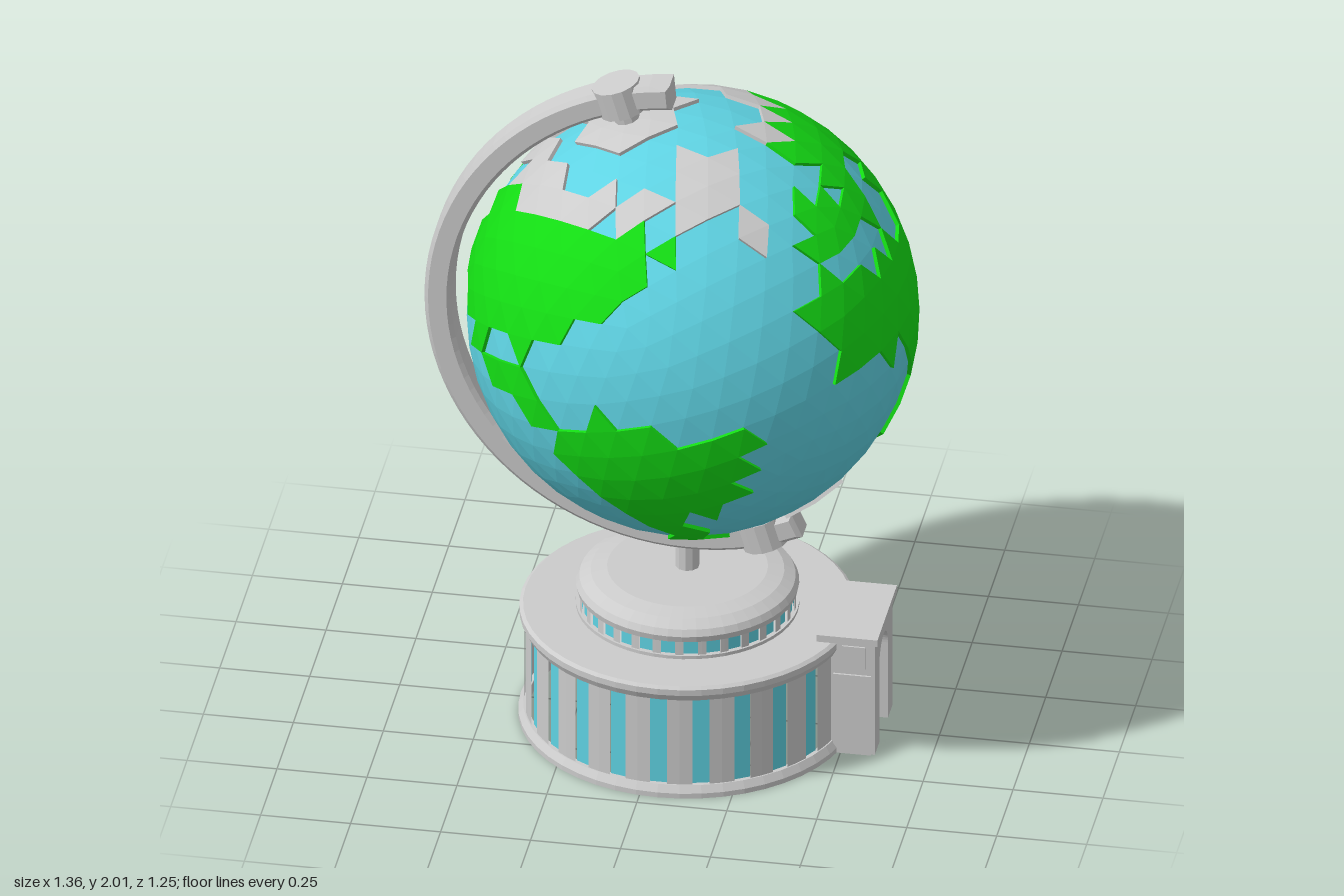
import * as THREE from 'three';

const GREY = 0xcccccc, BLUE = 0x5fd3e3, GREEN = 0x14dd14;
const SEA_R = 0.614, LAND_R = 0.625, TILT = 0.288;

function add(parent, name, geometry, color = GREY) {
  const material = new THREE.MeshStandardMaterial({ color, flatShading: true, side: THREE.DoubleSide });
  const mesh = new THREE.Mesh(geometry, material);
  mesh.name = name;
  parent.add(mesh);
  return mesh;
}

// A map view projects directions on the globe to flat coordinates in hundredths
function mapView(azimuth, elevation, cx, cy) {
  const a = THREE.MathUtils.degToRad(azimuth), e = THREE.MathUtils.degToRad(elevation);
  const dir = new THREE.Vector3(Math.sin(a) * Math.cos(e), Math.sin(e), Math.cos(a) * Math.cos(e));
  const right = new THREE.Vector3(Math.cos(a), 0, -Math.sin(a));
  const up = dir.clone().cross(right);
  return (p) => (p.dot(dir) < 0.02 ? null : [p.dot(right) * 62 + cx, p.dot(up) * 62 + cy]);
}
const FRONT = mapView(0, 0, 6, 127.5), RIGHT = mapView(90, 0, 0, 127.5), TOP = mapView(0, 90, 6, 0);
const BACK = mapView(225, 30, 0, 0), BACK_LEVEL = mapView(225, 0, 0, 0), BOTTOM = mapView(0, -90, 0, 0);

// Region tests: an oval or an outline drawn in a map view
const oval = (view, x, y, rx, ry) => (p) => {
  const q = view(p);
  return q !== null && Math.hypot((q[0] - x) / rx, (q[1] - y) / ry) < 1;
};
const outline = (view, ...pts) => (p) => {
  const q = view(p);
  if (!q) return false;
  let inside = false;
  pts.forEach(([x1, y1], i) => {
    const [x2, y2] = pts[(i + 1) % pts.length];
    if ((y1 > q[1]) !== (y2 > q[1]) && q[0] < (x2 - x1) * (q[1] - y1) / (y2 - y1) + x1) inside = !inside;
  });
  return inside;
};
const anyOf = (...tests) => (p) => tests.some((t) => t(p));

const southAmerica = outline(FRONT, [-21, 119], [-8, 130], [17, 124], [34, 122], [29, 99], [14, 91], [20, 74],
  [11, 73], [-2, 93], [-21, 109]);
const northAmerica = outline(FRONT, [-39, 169], [8, 174], [-7, 164], [-15, 155], [-31, 140], [-45, 137], [-44, 129],
  [-24, 124], [-24, 118], [-46, 125], [-57, 145], [-47, 161]);
const canada = outline(TOP, [-54, -14], [-39, -5], [-32, -23], [-12, -37], [9, -42], [-6, -54], [-20, -52], [-47, -28]);
const africa = outline(RIGHT, [-41, 153], [-34, 161], [-10, 157], [19, 153], [28, 140], [40, 140], [26, 125],
  [32, 115], [12, 92], [2, 90], [-3, 120], [-14, 131], [-39, 136]);
const europe = outline(RIGHT, [-30, 165], [-22, 176], [0, 186], [30, 182], [70, 150], [70, 124], [60, 124],
  [52, 144], [36, 142], [19, 158], [0, 163]);
const northAsia = outline(TOP, [-34, 23], [-18, 34], [16, 30], [29, 16], [33, -10], [61, 21], [26, 64], [-25, 60], [-28, 38]);
const eastAsia = outline(BACK, [-40, 60], [-15, 33], [22, 22], [8, 16], [9, 4], [-9, -14], [-13, -33], [-28, -18],
  [-44, -13], [-50, -26], [-70, -5], [-70, 40]);
const islands = anyOf(
  oval(FRONT, -32, 130, 5, 4), oval(RIGHT, 32, 105, 5, 5), oval(TOP, -36, 37, 6, 9), oval(BACK, 16, 0, 5, 13),
  oval(BACK, -14, -35, 9, 4), oval(BACK, 6, -31, 5, 7), oval(BACK, 25, -41, 13, 5));
const australia = oval(BACK_LEVEL, 0, -41, 22, 10);
const isLand = anyOf(southAmerica, northAmerica, canada, africa, europe, northAsia, eastAsia, islands, australia);

const isInlandSea = anyOf(
  oval(RIGHT, -5, 160, 20, 4), oval(RIGHT, 12, 167, 6, 5), oval(RIGHT, 44, 160, 6, 5),
  oval(RIGHT, -8, 177, 5, 4), oval(RIGHT, 28, 150, 4, 4));

// Polar caps, plus a broken ring of frozen coast
const coastOuter = oval(TOP, -5, 0, 36, 37), coastInner = oval(TOP, -5, 0, 28, 29), coastGap = oval(TOP, 24, -18, 14, 14);
const isIce = anyOf(
  oval(TOP, -11, 3, 15, 16), oval(TOP, 14, -25, 8, 13), oval(TOP, 31, -31, 4, 4),
  oval(BOTTOM, 16, -9, 26, 23), oval(BOTTOM, 37, 12, 7, 6),
  (p) => coastOuter(p) && !coastInner(p) && !coastGap(p));

function buildGlobe() {
  const globe = new THREE.Group();
  globe.name = 'globe';
  const sphere = new THREE.IcosahedronGeometry(1, 7);
  sphere.rotateX(-Math.atan((1 + Math.sqrt(5)) / 2)).rotateZ(TILT);

  // Sort every facet into sea, land or ice
  const pos = sphere.attributes.position, faces = [], edges = new Map();
  const key = (v) => v.toArray().map((n) => Math.round(n * 1000) + 0).join();
  for (let i = 0; i < pos.count; i += 3) {
    const v = [0, 1, 2].map((k) => new THREE.Vector3().fromBufferAttribute(pos, i + k));
    const mid = v[0].clone().add(v[1]).add(v[2]).normalize();
    const kind = isIce(mid) ? 'ice' : isLand(mid) && !isInlandSea(mid) ? 'land' : 'sea';
    const keys = v.map(key);
    faces.push({ v, keys, kind });
    keys.forEach((k, n) => edges.set(k + '|' + keys[(n + 1) % 3], kind));
  }

  // Raised facets with a wall along every coast
  const raise = (kind) => {
    const out = [], foot = SEA_R - 0.004;
    const push = (v, r) => out.push(v.x * r, v.y * r, v.z * r);
    for (const f of faces.filter((g) => g.kind === kind)) {
      f.v.forEach((v) => push(v, LAND_R));
      for (let n = 0; n < 3; n++) {
        const m = (n + 1) % 3, a = f.v[n], b = f.v[m];
        if (edges.get(f.keys[m] + '|' + f.keys[n]) === kind) continue;
        push(a, foot); push(b, foot); push(b, LAND_R);
        push(a, foot); push(b, LAND_R); push(a, LAND_R);
      }
    }
    const g = new THREE.BufferGeometry();
    g.setAttribute('position', new THREE.Float32BufferAttribute(out, 3));
    g.computeVertexNormals();
    return g;
  };
  add(globe, 'continents', raise('land'), GREEN);
  add(globe, 'iceCaps', raise('ice'));
  add(globe, 'ocean', sphere.scale(SEA_R, SEA_R, SEA_R), BLUE);
  return globe;
}

function buildArm() {
  const arm = new THREE.Group();
  arm.name = 'meridianArm';
  // Curved bracket with chamfered edges
  const from = 1.66, to = 5.14, b = 0.012;
  const shape = new THREE.Shape();
  shape.absarc(0, 0, 0.735 - b, from, to, false);
  shape.absarc(0, 0, 0.66 + b, to, from, true);
  const bracket = new THREE.ExtrudeGeometry(shape, {
    depth: 0.066, bevelThickness: b, bevelSize: b, bevelSegments: 1, curveSegments: 28 });
  add(arm, 'bracket', bracket.translate(0, 0, -0.033));
  // Pivot collars and pins on the tilted axis
  const axis = new THREE.Group();
  axis.name = 'pivots';
  axis.rotation.z = TILT;
  for (const s of [1, -1]) {
    add(axis, 'collar', new THREE.CylinderGeometry(0.068, 0.068, 0.085, 14)).position.y = s * 0.697;
    add(axis, 'pin', new THREE.CylinderGeometry(0.035, 0.035, 0.08, 10)).position.y = s * 0.63;
  }
  arm.add(axis);
  return arm;
}

// Ring of alternating window panes and wall piers
function windowRing(parent, name, count, r, y0, y1, paneAngle) {
  const step = Math.PI * 2 / count;
  const arc = (radius, mid, len, seg) =>
    new THREE.CylinderGeometry(radius, radius, y1 - y0, seg, 1, true, mid - len / 2, len).translate(0, (y0 + y1) / 2, 0);
  for (let i = 0; i < count; i++) {
    add(parent, name + 'Pane', arc(r - 0.004, i * step, paneAngle + 0.01, 1), BLUE);
    add(parent, name + 'Pier', arc(r + 0.004, (i + 0.5) * step, step - paneAngle, 2));
  }
}

function buildPorch() {
  const porch = new THREE.Group();
  porch.name = 'porch';
  // Arched opening
  const w = 0.135, o = 0.066, top = 0.355;
  const s = new THREE.Shape();
  s.moveTo(-w, 0).lineTo(-o, 0).lineTo(-o, 0.24);
  s.absarc(0, 0.24, o, Math.PI, 0, true);
  s.lineTo(o, 0).lineTo(w, 0).lineTo(w, top).lineTo(-w, top);
  const arch = new THREE.ExtrudeGeometry(s, { depth: 0.145, bevelEnabled: false, curveSegments: 12 });
  add(porch, 'archway', arch.rotateY(Math.PI / 2).translate(0.4, 0, 0));
  // Cornice, door and side panels
  const box = (name, x0, x1, y0, y1, z, half, color) =>
    add(porch, name, new THREE.BoxGeometry(x1 - x0, y1 - y0, half * 2), color)
      .position.set((x0 + x1) / 2, (y0 + y1) / 2, z);
  box('cornice', 0.385, 0.555, 0.353, 0.374, 0, 0.15);
  box('backWall', 0.4, 0.45, 0, 0.34, 0, 0.1);
  box('door', 0.45, 0.455, 0, 0.175, 0, 0.056, BLUE);
  for (const side of [1, -1]) {
    box('sidePanel', 0.43, 0.535, 0, 0.25, side * w, 0.006);
    box('sideFrieze', 0.455, 0.52, 0.27, 0.34, side * w, 0.005);
  }
  return porch;
}

function buildBuilding() {
  const building = new THREE.Group();
  building.name = 'building';
  building.position.x = 0.05;
  const lathe = (name, ...pts) =>
    add(building, name, new THREE.LatheGeometry(pts.map(([x, y]) => new THREE.Vector2(x, y)), 48));

  // Drum, open underneath
  lathe('plinth', [0.435, 0], [0.463, 0], [0.463, 0.015], [0.45, 0.035], [0.435, 0.035], [0.435, 0]);
  windowRing(building, 'drum', 24, 0.442, 0.03, 0.31, 0.105);
  lathe('roof', [0, 0.325], [0.435, 0.325], [0.435, 0.305], [0.45, 0.305], [0.46, 0.325], [0.46, 0.343], [0.45, 0.35], [0, 0.35]);

  // Upper storey, low dome and pole
  windowRing(building, 'upperStorey', 30, 0.296, 0.35, 0.405, 0.13);
  lathe('upperSill', [0.29, 0.35], [0.306, 0.35], [0.306, 0.36], [0.29, 0.36]);
  lathe('dome', [0, 0.402], [0.302, 0.402], [0.306, 0.42], [0.296, 0.438], [0.265, 0.456], [0.22, 0.466], [0, 0.468]);
  add(building, 'pole', new THREE.CylinderGeometry(0.033, 0.033, 0.14, 10)).position.y = 0.52;
  building.add(buildPorch());
  return building;
}

export function createModel() {
  const model = new THREE.Group();
  model.name = 'globeBuilding';
  const globe = buildGlobe(), arm = buildArm();
  for (const part of [globe, arm]) part.position.set(0.06, 1.275, 0);
  model.add(globe, arm, buildBuilding());
  return model;
}
